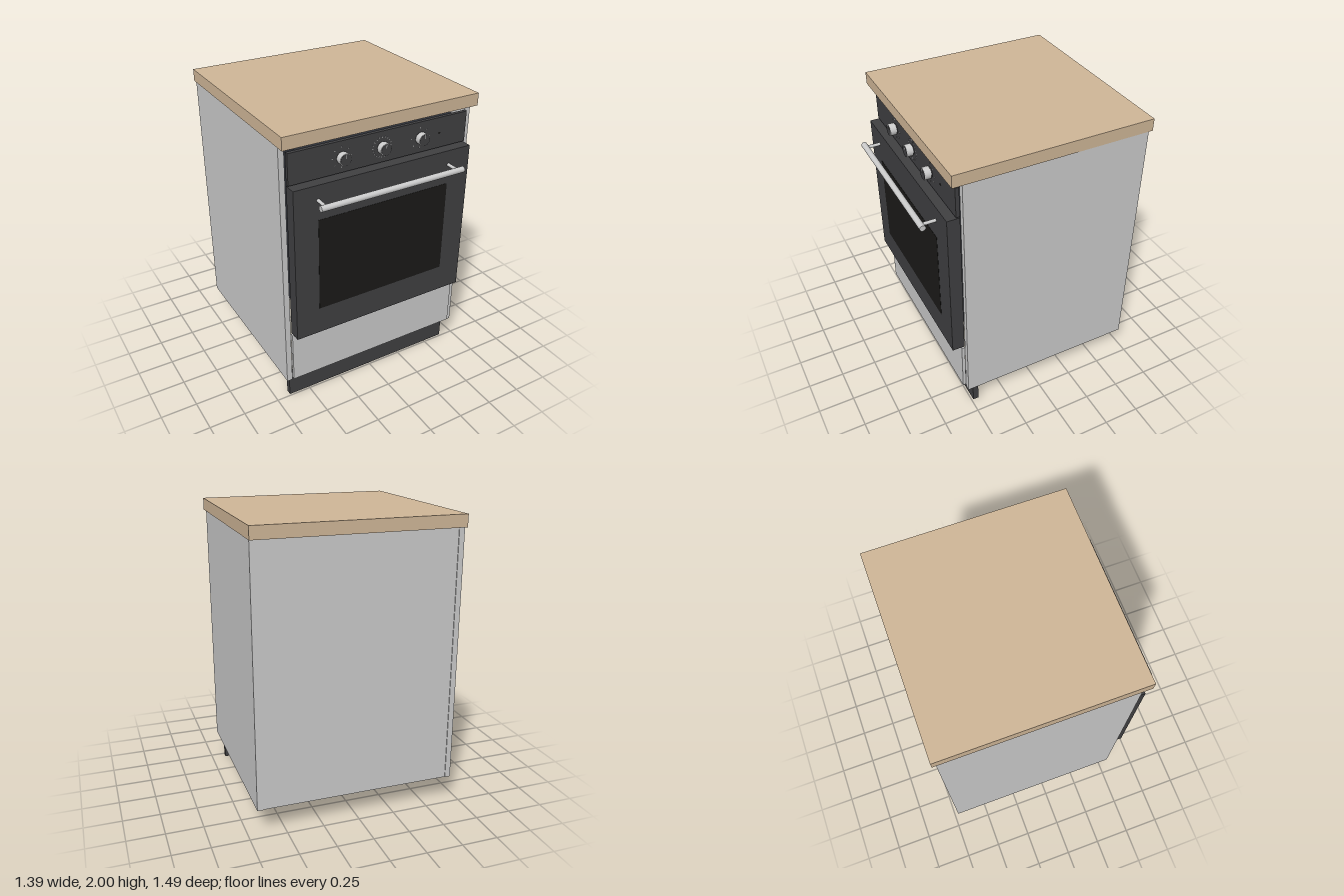
import * as THREE from 'three';

const mat = (color) => new THREE.MeshStandardMaterial({ color });
const GREY = mat(0xcccccc);
const WOOD = mat(0xd0b798);
const DARK = mat(0x404042);
const GLASS = mat(0x1b1a18);
const BODY = mat(0x2c2f36);
const WHITE = mat(0xeeeeee);

export function createModel() {
  const model = new THREE.Group();
  model.name = 'ovenCabinet';

  // Box given by its min and max on each axis
  const box = (name, [x0, x1], [y0, y1], [z0, z1], material, parent = model) => {
    const mesh = new THREE.Mesh(new THREE.BoxGeometry(x1 - x0, y1 - y0, z1 - z0), material);
    mesh.name = name;
    mesh.position.set((x0 + x1) / 2, (y0 + y1) / 2, (z0 + z1) / 2);
    parent.add(mesh);
    return mesh;
  };
  // Cylinder along z (or along x), centred on a point
  const rod = (name, radius, length, pos, material, parent = model, alongX = false) => {
    const geo = new THREE.CylinderGeometry(radius, radius, length, 32);
    if (alongX) geo.rotateZ(Math.PI / 2);
    else geo.rotateX(Math.PI / 2);
    const mesh = new THREE.Mesh(geo, material);
    mesh.name = name;
    mesh.position.set(...pos);
    parent.add(mesh);
    return mesh;
  };

  // Cabinet: open underneath, with a worktop on two side panels and a back
  box('worktop', [-0.695, 0.695], [1.917, 2], [-0.745, 0.605], WOOD);
  box('rightSidePanel', [-0.69, -0.652], [0.18, 1.917], [-0.72, 0.54], GREY);
  box('leftSidePanel', [0.652, 0.69], [0.18, 1.917], [-0.72, 0.54], GREY);
  box('backPanel', [-0.652, 0.652], [0.18, 1.917], [-0.715, -0.69], GREY);
  box('drawerFront', [-0.65, 0.65], [0.2, 0.57], [0.54, 0.562], GREY);
  box('plinth', [-0.65, 0.65], [0, 0.18], [0.447, 0.487], DARK);

  // Oven
  box('ovenBody', [-0.57, 0.57], [0.73, 1.86], [-0.5, 0.54], BODY);
  box('controlPanel', [-0.645, 0.645], [1.668, 1.875], [0.54, 0.565], DARK);
  box('ovenDoor', [-0.645, 0.645], [0.58, 1.66], [0.54, 0.625], DARK);
  box('doorWindow', [-0.48, 0.48], [0.77, 1.425], [0.62, 0.6265], GLASS);

  // Door handle
  const handle = new THREE.Group();
  handle.name = 'doorHandle';
  model.add(handle);
  rod('handleBar', 0.02, 1.04, [0, 1.56, 0.725], GREY, handle, true);
  for (const x of [-0.48, 0.48]) rod('handlePost', 0.011, 0.1, [x, 1.56, 0.672], GREY, handle);

  // Knobs with dial marks: x, number of marks, first and last angle from the top
  const dials = [
    [-0.285, 8, 0, 315],
    [0, 20, 0, 342],
    [0.285, 7, 0, 270],
  ];
  for (const [x, count, from, to] of dials) {
    const knob = new THREE.Group();
    knob.name = 'knob';
    knob.position.set(x, 1.77, 0.565);
    model.add(knob);
    rod('knobBase', 0.034, 0.01, [0, 0, 0.005], DARK, knob);
    rod('knobGrip', 0.04, 0.042, [0, 0, 0.029], GREY, knob);
    rod('knobCap', 0.037, 0.004, [0, 0, 0.0495], DARK, knob);
    box('knobPointer', [-0.002, 0.002], [0.01, 0.036], [0.05, 0.0525], WHITE, knob);
    for (let i = 0; i < count; i++) {
      const a = THREE.MathUtils.degToRad(from + ((to - from) * i) / (count - 1));
      const mark = box('dialMark', [-0.002, 0.002], [-0.004, 0.004], [-0.001, 0.001], WHITE, knob);
      mark.position.set(Math.sin(a) * 0.066, Math.cos(a) * 0.066, 0.0005);
      mark.rotation.z = -a;
    }
  }
  rod('indicatorLight', 0.006, 0.004, [0.435, 1.77, 0.566], GLASS);

  return model;
}
